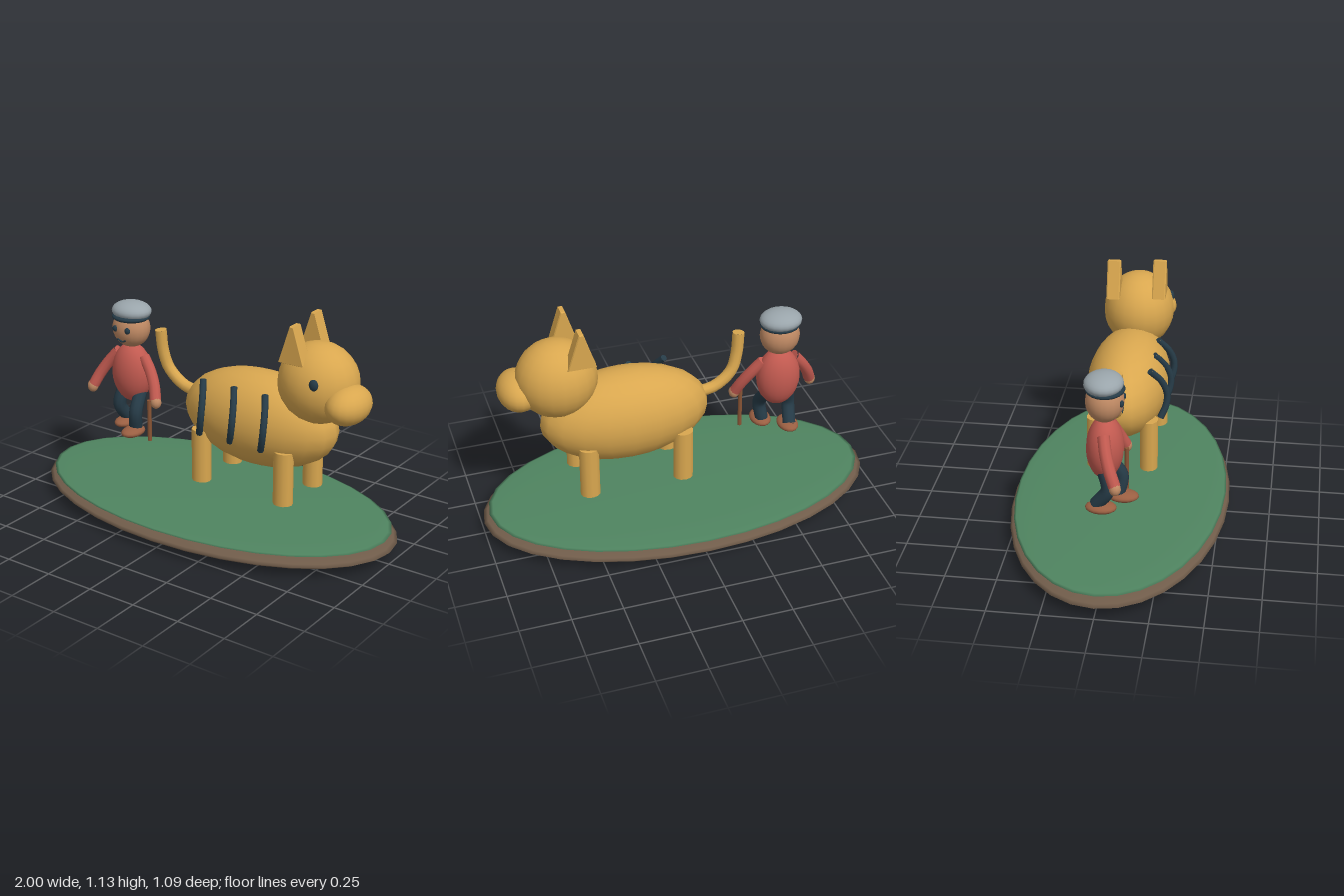
import * as THREE from 'three';

const mat = (color, side = THREE.FrontSide) => new THREE.MeshStandardMaterial({ color, side });
const FUR = mat(0xd9a74f), DARK = mat(0x263b47), GREEN = mat(0x4f8460), SOIL = mat(0x705c4a);
const RED = mat(0xc25a50), SKIN = mat(0xc08a64), GREY = mat(0x9aa5ab), SHOE = mat(0x9a5f42), WOOD = mat(0x8a5535);

function add(parent, name, geometry, material, position = [0, 0, 0]) {
  const mesh = new THREE.Mesh(geometry, material);
  mesh.name = name;
  mesh.position.set(...position);
  parent.add(mesh);
  return mesh;
}

// Ellipsoid from centre and three radii
function ball(parent, name, material, position, radii, w = 20, h = 14) {
  const mesh = add(parent, name, new THREE.SphereGeometry(1, w, h), material, position);
  mesh.scale.set(...radii);
  return mesh;
}

// Tube along a smooth path, closed with flat end discs
function limb(parent, name, material, points, radius, sides = 10) {
  const group = new THREE.Group();
  group.name = name;
  parent.add(group);
  const curve = new THREE.CatmullRomCurve3(points.map(p => new THREE.Vector3(...p)));
  add(group, name + 'Tube', new THREE.TubeGeometry(curve, 14, radius, sides), material);
  for (const t of [0, 1]) {
    const p = curve.getPointAt(t), out = curve.getTangentAt(t).multiplyScalar(t ? 1 : -1);
    const cap = add(group, name + 'End', new THREE.CircleGeometry(radius, sides), material, p.toArray());
    cap.lookAt(p.clone().add(out));
  }
  return group;
}

function makeBase() {
  const g = new THREE.Group();
  g.name = 'base';
  ball(g, 'soil', SOIL, [0, 0.06, 0], [1, 0.059, 0.545], 32, 16);
  ball(g, 'grass', GREEN, [0, 0.106, 0], [0.97, 0.018, 0.527], 32, 16);
  return g;
}

function makeTiger() {
  const g = new THREE.Group();
  g.name = 'tiger';
  ball(g, 'body', FUR, [0.265, 0.582, 0], [0.425, 0.237, 0.208]);
  ball(g, 'head', FUR, [0.594, 0.837, 0.012], [0.2, 0.197, 0.181]);
  ball(g, 'snout', FUR, [0.778, 0.778, 0.05], [0.1, 0.093, 0.14]);
  ball(g, 'eye', DARK, [0.662, 0.885, 0.172], [0.024, 0.028, 0.016], 12, 8);

  // Wedge ears: triangles with depth
  const tri = new THREE.Shape([[-0.066, 0], [0.066, 0], [0.008, 0.178], [-0.008, 0.178]]
    .map(p => new THREE.Vector2(...p)));
  const ear = new THREE.ExtrudeGeometry(tri, {
    depth: 0.056, bevelEnabled: true, bevelThickness: 0.006, bevelSize: 0.004, bevelSegments: 1,
  });
  add(g, 'earBack', ear, FUR, [0.5, 0.953, -0.133]);
  add(g, 'earFront', ear, FUR, [0.528, 0.953, 0.097]);

  // Four straight legs
  for (const x of [0.007, 0.485]) for (const z of [-0.134, 0.134])
    add(g, 'leg', new THREE.CylinderGeometry(0.05, 0.05, 0.27, 12), FUR, [x, 0.365, z]).scale.z = 0.9;

  limb(g, 'tail', FUR, [[-0.1, 0.62, -0.005], [-0.2, 0.64, -0.005], [-0.285, 0.71, 0], [-0.315, 0.8, 0.01], [-0.325, 0.912, 0.016]], 0.03);

  // Stripes on the near flank
  for (const x of [0.02, 0.2, 0.377])
    limb(g, 'stripe', DARK, [[x, 0.76, 0.135], [x + 0.034, 0.69, 0.19], [x + 0.044, 0.62, 0.216],
      [x + 0.035, 0.56, 0.212], [x + 0.012, 0.5, 0.187]], 0.017, 8);
  return g;
}

function makeMan() {
  const g = new THREE.Group();
  g.name = 'oldMan';
  g.position.x = -0.532;
  ball(g, 'torso', RED, [0, 0.636, -0.01], [0.112, 0.157, 0.088]);
  ball(g, 'head', SKIN, [0, 0.876, -0.01], [0.1, 0.1, 0.09]);
  ball(g, 'capBand', DARK, [0, 0.936, -0.008], [0.1, 0.025, 0.092]);
  ball(g, 'cap', GREY, [0, 0.965, -0.015], [0.106, 0.05, 0.092]);

  // Smile
  const smile = new THREE.CatmullRomCurve3([[-0.028, 0.832, 0.069], [0, 0.82, 0.068], [0.028, 0.832, 0.069]]
    .map(p => new THREE.Vector3(...p)));
  add(g, 'mouth', new THREE.TubeGeometry(smile, 8, 0.005, 6), DARK);

  for (const s of [-1, 1]) {
    ball(g, 'eye', DARK, [s * 0.038, 0.884, 0.072], [0.016, 0.017, 0.011], 12, 8);
    limb(g, 'arm', RED, [[s * 0.082, 0.735, -0.005], [s * 0.135, 0.67, 0.012],
      [s * 0.175, 0.605, 0.035], [s * 0.2, 0.545, 0.06]], 0.029);
    ball(g, 'hand', SKIN, [s * 0.205, 0.536, 0.063], [0.028, 0.033, 0.028], 12, 10);

    // Walking legs, one step ahead of the other
    const step = s > 0 ? 0.045 : -0.045;
    limb(g, 'leg', DARK, [[s * 0.055, 0.55, -0.01], [s * 0.07, 0.45, 0.035 + step * 0.5],
      [s * 0.058, 0.36, step]], 0.034);
    ball(g, 'shoe', SHOE, [s * 0.058, 0.345, step + 0.022], [0.053, 0.026, 0.075], 16, 10);
  }

  add(g, 'cane', new THREE.CylinderGeometry(0.011, 0.011, 0.22, 8), WOOD, [0.168, 0.432, 0.07]);
  return g;
}

export function createModel() {
  const model = new THREE.Group();
  model.name = 'tigerAndOldMan';
  model.add(makeBase(), makeTiger(), makeMan());
  return model;
}
